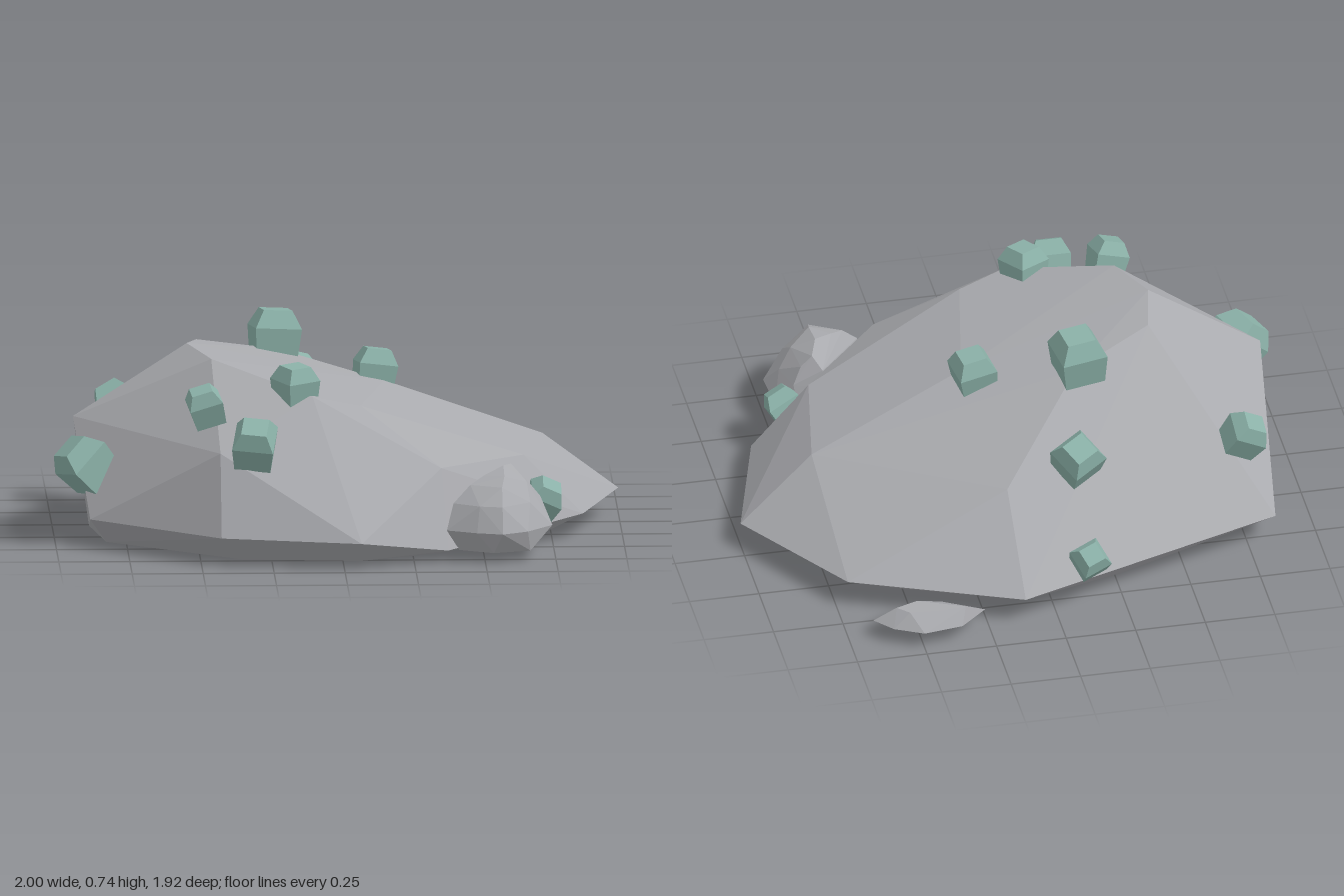
import * as THREE from 'three';
import { ConvexGeometry } from 'three/addons/geometries/ConvexGeometry.js';

const stone = new THREE.MeshStandardMaterial({ color: 0xa9aaae, flatShading: true });
stone.name = 'grey stone';
const crystalGreen = new THREE.MeshStandardMaterial({ color: 0x8ab0a7, flatShading: true });
crystalGreen.name = 'pale green crystal';

// Faceted stone: the hull of a few rings of corners.
function rock(name, corners) {
  const mesh = new THREE.Mesh(new ConvexGeometry(corners.map(c => new THREE.Vector3(...c))), stone);
  mesh.name = name;
  return mesh;
}

// Raise a flat [x, z] outline to one height.
const ring = (y, outline) => outline.map(([x, z]) => [x, y, z]);

// Square crystal with a bevelled cap, unit wide, centred on its middle.
function crystalGeometry() {
  const r = Math.SQRT1_2;
  const profile = [[0, -0.55], [r * 0.88, -0.55], [r, 0.12], [r * 0.62, 0.5], [0, 0.5]];
  const geo = new THREE.LatheGeometry(profile.map(p => new THREE.Vector2(...p)), 4);
  geo.rotateY(Math.PI / 4);
  return geo;
}

export function createModel() {
  const model = new THREE.Group();
  model.name = 'crystalRock';

  // Main boulder: undercut base, widest ring, shoulders and sloping top
  model.add(rock('mainRock', [
    ...ring(0, [[-0.27, -0.63], [0.5, -0.57], [-0.35, 0.72], [-0.82, 0.35], [-0.87, 0.02]]),
    ...ring(0.01, [[0.82, -0.15], [0.72, 0.28], [0.33, 0.68], [0.06, 0.82]]),
    ...ring(0.1, [[0.12, -0.88], [0.71, -0.64], [-0.43, 0.86], [-0.88, 0.46], [-0.85, -0.53]]),
    [1, 0.09, -0.18], [0.86, 0.085, 0.31], [0.37, 0.04, 0.79], [0.06, 0.095, 0.96],
    [-0.93, 0.41, 0.12], [-0.43, 0.38, 0.73], [0.35, 0.31, 0.65], [0.65, 0.3, 0.33],
    [0.73, 0.3, -0.11], [0.12, 0.36, -0.56],
    [-0.53, 0.67, 0.13], [-0.49, 0.65, -0.06], [-0.2, 0.59, -0.2], [0.17, 0.51, 0],
    [0.07, 0.51, 0.51], [-0.1, 0.55, 0.55], [-0.32, 0.59, 0.45], [-0.45, 0.65, 0.34],
  ]));

  // Small rounded boulder leaning on the front edge
  model.add(rock('smallRock', [
    ...ring(0.035, [[0.41, 0.75], [0.53, 0.82], [0.66, 0.77], [0.69, 0.55], [0.5, 0.52]]),
    ...ring(0.11, [[0.5, 0.49], [0.59, 0.45], [0.66, 0.46], [0.73, 0.52], [0.74, 0.68], [0.65, 0.81],
      [0.56, 0.87], [0.47, 0.84], [0.365, 0.78], [0.41, 0.65]]),
    ...ring(0.2, [[0.39, 0.74], [0.48, 0.81], [0.56, 0.83], [0.66, 0.73], [0.7, 0.6], [0.67, 0.49],
      [0.58, 0.455]]),
    ...ring(0.26, [[0.45, 0.71], [0.56, 0.77], [0.65, 0.64], [0.64, 0.51], [0.57, 0.47]]),
    [0.57, 0.31, 0.6], [0.6, 0.3, 0.51], [0.5, 0.285, 0.66], [0.57, 0.29, 0.71],
  ]));

  // Thin stone behind
  model.add(rock('flatStone', [
    ...ring(0.04, [[0.36, -0.86], [0.5, -0.9], [0.58, -0.84], [0.46, -0.81]]),
    ...ring(0.06, [[0.26, -0.85], [0.36, -0.94], [0.5, -0.96], [0.6, -0.91], [0.66, -0.84],
      [0.57, -0.78], [0.4, -0.77]]),
    ...ring(0.115, [[0.34, -0.9], [0.42, -0.91], [0.54, -0.9], [0.58, -0.86], [0.5, -0.83]]),
  ]));

  // Crystals: position, growing direction, width, twist
  const crystals = [
    [[-0.21, 0.65, -0.19], [0.05, 1, -0.08], 0.165, 0.15],
    [[0.14, 0.545, -0.06], [0.12, 1, -0.1], 0.138, 0.15],
    [[-0.16, 0.59, 0.51], [0, 1, 0.1], 0.128, 0.55],
    [[-0.48, 0.53, 0.59], [-0.25, 0.9, 0.25], 0.12, 0.1],
    [[-0.31, 0.425, 0.76], [0, 0.8, 0.5], 0.145, -0.15],
    [[-0.9, 0.285, 0.34], [-0.65, 0.75, 0.2], 0.16, 0.5],
    [[0.72, 0.165, 0.43], [0.45, 0.8, 0.35], 0.117, 0.1],
    [[-0.77, 0.375, -0.4], [-0.5, 0.8, -0.25], 0.125, 0.1],
    [[-0.14, 0.44, -0.53], [0, 0.8, -0.5], 0.142, 0.55],
    [[-0.13, 0.18, -0.79], [0, 0.7, -0.6], 0.11, 0.4],
  ];
  const geo = crystalGeometry();
  const up = new THREE.Vector3(0, 1, 0);
  crystals.forEach(([pos, dir, width, twist], i) => {
    const mesh = new THREE.Mesh(geo, crystalGreen);
    mesh.name = `crystal${i + 1}`;
    mesh.position.set(...pos);
    mesh.quaternion.setFromUnitVectors(up, new THREE.Vector3(...dir).normalize());
    mesh.rotateY(twist);
    mesh.scale.setScalar(width);
    model.add(mesh);
  });

  return model;
}
